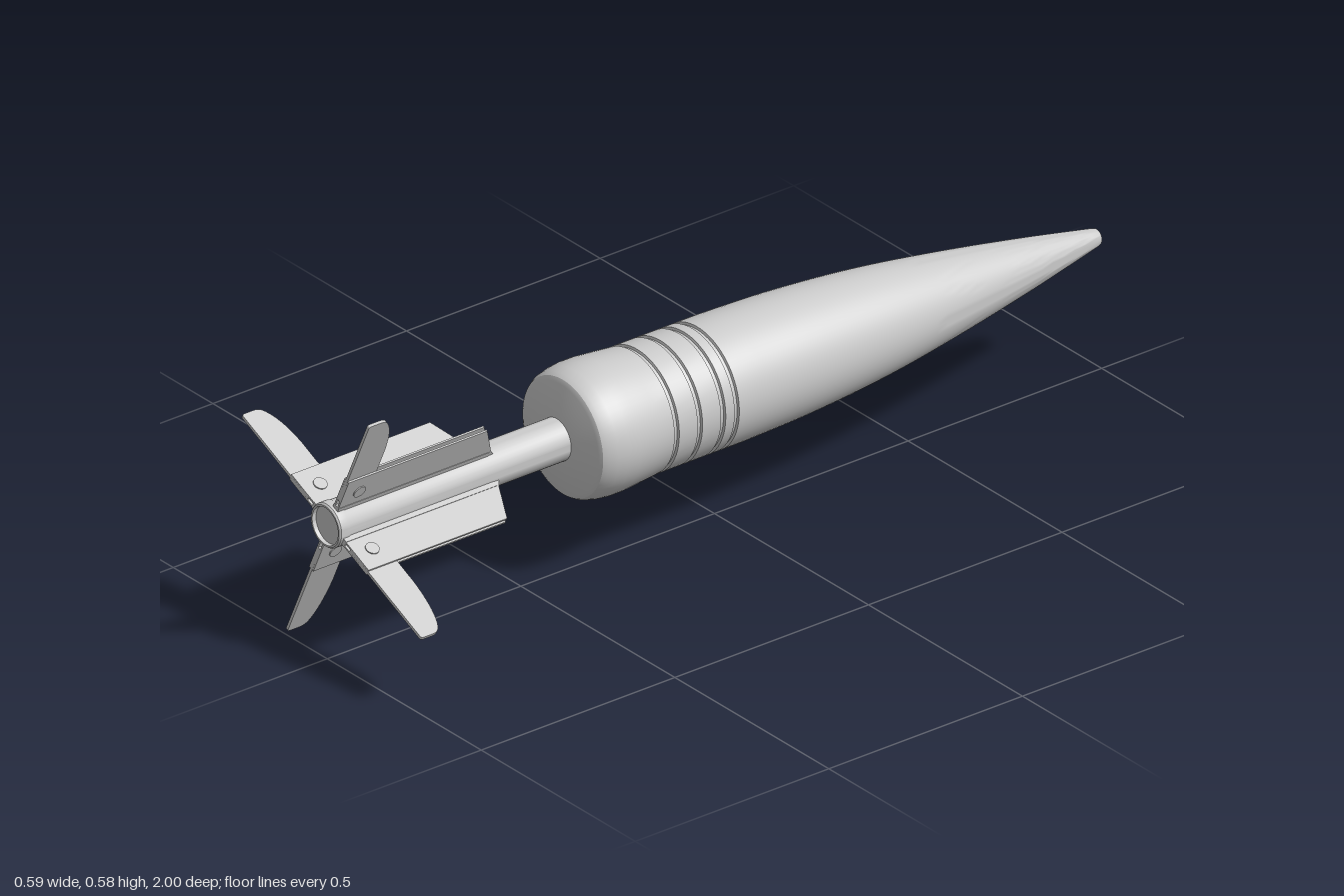
import * as THREE from 'three';
import { toCreasedNormals } from 'three/addons/utils/BufferGeometryUtils.js';

const material = new THREE.MeshStandardMaterial({ color: 0xcccccc });

function addMesh(parent, name, geometry) {
  const mesh = new THREE.Mesh(geometry, material);
  mesh.name = name;
  parent.add(mesh);
  return mesh;
}

// Revolve [radius, z] points around the long axis, running from nose to tail
function revolve(points, segments = 64) {
  const g = new THREE.LatheGeometry(points.map(([r, z]) => new THREE.Vector2(r, z)), segments);
  g.rotateX(Math.PI / 2);
  return toCreasedNormals(g, 0.45);
}

// Flat sheet drawn in (radius, z), centred on the fin plane plus an offset
function sheet(shape, thickness, offset = 0) {
  const g = new THREE.ExtrudeGeometry(shape, { depth: thickness, bevelEnabled: false, curveSegments: 10 });
  g.translate(0, 0, -thickness / 2);
  g.rotateX(Math.PI / 2);
  g.translate(0, offset, 0);
  return toCreasedNormals(g, 0.5);
}

function bodyProfile() {
  // Ogive curve from the blunt nose to the parallel section
  const ogive = new THREE.SplineCurve([
    [0.02, -0.985], [0.055, -0.8], [0.088, -0.6], [0.115, -0.4], [0.131, -0.2], [0.137, -0.02],
  ].map(p => new THREE.Vector2(...p)));
  const points = [[0, -1], [0.01, -0.998], [0.017, -0.993]];
  for (const p of ogive.getPoints(32)) points.push([p.x, p.y]);
  // Driving-band grooves
  for (const z of [0.045, 0.08, 0.14, 0.2]) {
    points.push([0.137, z - 0.006], [0.132, z - 0.004], [0.132, z + 0.004], [0.137, z + 0.006]);
  }
  // Swollen base and chamfered rear face
  points.push([0.141, 0.25], [0.145, 0.3], [0.145, 0.33], [0.142, 0.355],
    [0.137, 0.376], [0.131, 0.386], [0.122, 0.391], [0.045, 0.402], [0, 0.402]);
  return points;
}

function createFin(length) {
  const fin = new THREE.Group();
  fin.name = 'fin';

  // Paired fixed plates with a raked leading edge
  const plate = new THREE.Shape([
    [0.036, 0.58], [0.06, 0.597], [0.138, 0.632], [0.138, 0.99], [0.036, 0.99],
  ].map(p => new THREE.Vector2(...p)));
  for (const side of [-1, 1]) {
    addMesh(fin, 'finPlate', sheet(plate, 0.004, side * 0.0055));
    const rivet = addMesh(fin, 'pivotRivet', new THREE.CylinderGeometry(0.015, 0.015, 0.003, 24));
    rivet.position.set(0.093, side * 0.0085, 0.948);
  }

  // Narrow root flange joining the plates to the boom
  const root = addMesh(fin, 'rootFlange', new THREE.BoxGeometry(0.02, 0.017, 0.39));
  root.position.set(0.048, 0, 0.795);

  // Swing-out blade held between the plates
  const blade = new THREE.Shape();
  blade.moveTo(0.075, 0.99);
  blade.lineTo(0.075, 0.915);
  blade.lineTo(0.2, 0.915);
  blade.bezierCurveTo(0.25, 0.917, length - 0.025, 0.926, length - 0.006, 0.943);
  blade.quadraticCurveTo(length, 0.95, length, 0.96);
  blade.lineTo(length, 0.984);
  blade.quadraticCurveTo(length, 0.99, length - 0.006, 0.99);
  blade.closePath();
  addMesh(fin, 'finBlade', sheet(blade, 0.0068));
  return fin;
}

export function createModel() {
  const model = new THREE.Group();
  model.name = 'finnedProjectile';
  const axis = new THREE.Group();
  axis.name = 'projectileAxis';
  axis.position.set(-0.007, 0.304, 0);
  model.add(axis);

  addMesh(axis, 'body', revolve(bodyProfile()));

  // Tail boom with a shallow recess in its end
  addMesh(axis, 'tailBoom', revolve([
    [0.047, 0.39], [0.047, 0.97], [0.049, 0.975], [0.049, 0.996], [0.046, 1],
    [0.042, 1], [0.042, 0.99], [0, 0.99],
  ], 40));

  // Four fins, the blades opened to slightly different lengths
  [0.329, 0.307, 0.313, 0.33].forEach((length, i) => {
    const fin = createFin(length);
    fin.rotation.z = THREE.MathUtils.degToRad(-24.7 + 90 * i);
    axis.add(fin);
  });
  return model;
}
